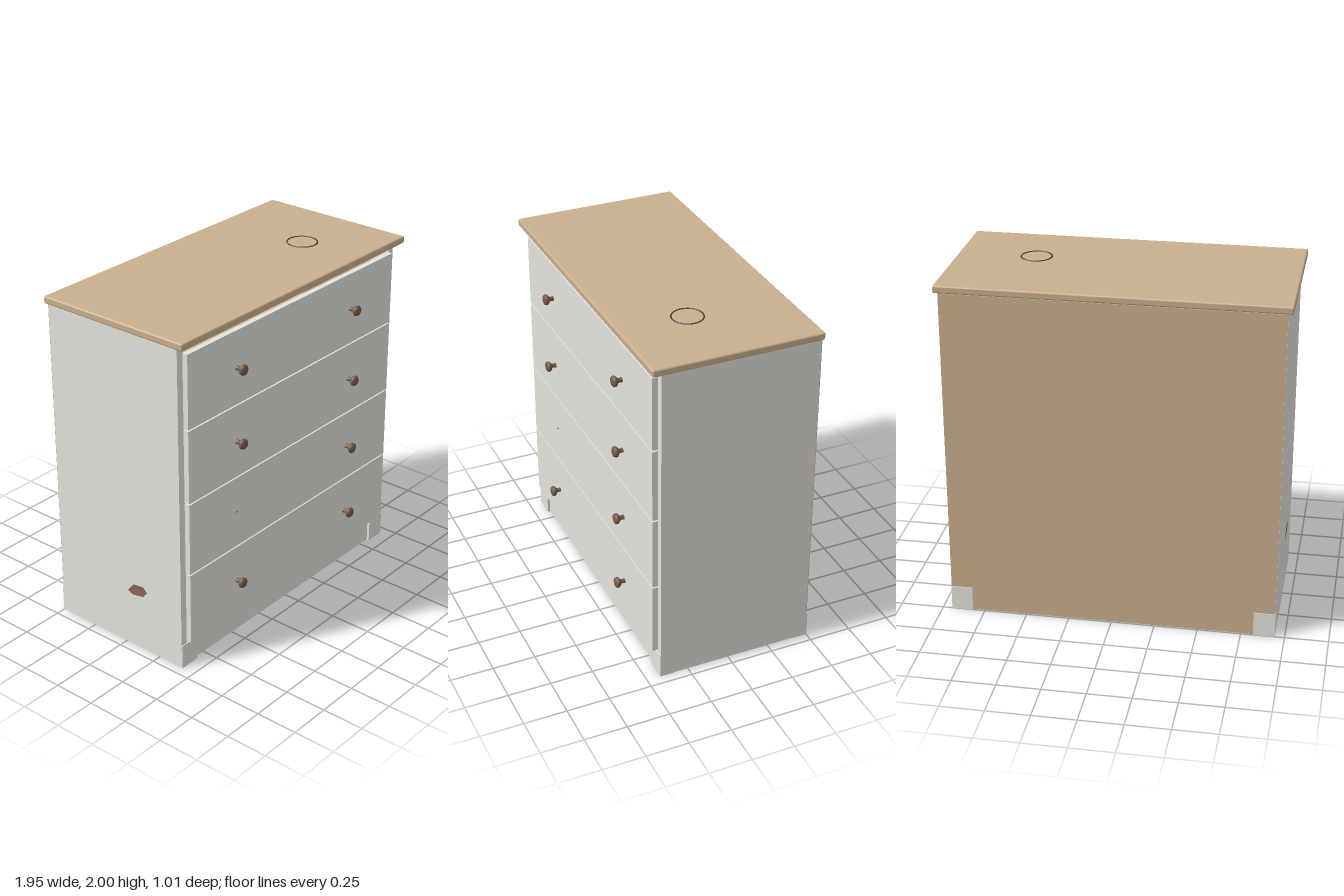
import * as THREE from 'three';
import { RoundedBoxGeometry } from 'three/addons/geometries/RoundedBoxGeometry.js';

const mat = (name, color) => Object.assign(new THREE.MeshStandardMaterial({ color }), { name });

export function createModel() {
  const grey = mat('grey paint', 0xe5e3dd);
  const wood = mat('bare wood', 0xc9af8e);
  const brown = mat('knob brown', 0x785d48);
  const dark = mat('dark stain', 0x4a3a2f);
  const chipped = mat('chipped wood', 0x8b6450);

  const model = new THREE.Group();
  model.name = 'chestOfDrawers';

  const add = (name, geometry, material, parent = model) => {
    const mesh = new THREE.Mesh(geometry, material);
    mesh.name = name;
    parent.add(mesh);
    return mesh;
  };
  // Box given by its lower and upper limits on each axis
  const box = (name, material, x0, x1, y0, y1, z0, z1, parent = model) => {
    const mesh = add(name, new THREE.BoxGeometry(x1 - x0, y1 - y0, z1 - z0), material, parent);
    mesh.position.set((x0 + x1) / 2, (y0 + y1) / 2, (z0 + z1) / 2);
    return mesh;
  };

  // Carcass
  for (const s of [-1, 1]) {
    const side = box('sidePanel', grey, -0.02, 0.02, 0.003, 1.952, -0.494, 0.415);
    side.position.x = s * 0.925;
  }
  box('backPanel', wood, -0.944, 0.944, 0.004, 1.952, -0.497, -0.485);
  box('bottomPanel', grey, -0.905, 0.905, 0.135, 0.158, -0.485, 0.41);
  box('topRail', grey, -0.905, 0.905, 1.915, 1.952, 0.36, 0.413);
  box('frontPlinth', grey, -0.905, 0.905, 0.003, 0.15, 0.368, 0.405);
  box('frontStile', grey, -0.905, -0.89, 0.15, 1.915, 0.36, 0.405);
  for (const y of [0.592, 1.471]) {
    box('drawerDivider', grey, -0.905, 0.905, y - 0.012, y + 0.012, 0.36, 0.41);
  }

  // Corner feet, flush with the sides
  for (const s of [-1, 1]) {
    for (const [z0, z1] of [[0.335, 0.42], [-0.502, -0.417]]) {
      const foot = box('foot', grey, -0.0625, 0.0625, 0, 0.145, z0, z1);
      foot.position.x = s * 0.8822;
    }
  }

  // Tabletop with softened edges
  const top = add('tabletop', new RoundedBoxGeometry(1.948, 0.043, 0.973, 3, 0.01), wood);
  top.position.set(0, 1.9735, -0.0125);

  // Knob profile: stem, flared neck and shallow domed head
  const knobGeometry = new THREE.LatheGeometry([
    [0.014, 0], [0.012, 0.018], [0.015, 0.026], [0.028, 0.036],
    [0.031, 0.042], [0.031, 0.049], [0.026, 0.057], [0.014, 0.06], [0, 0.061],
  ].map(([r, h]) => new THREE.Vector2(r, h)), 24).rotateX(Math.PI / 2);

  // Drawers: painted front, wooden box behind, two knobs
  for (let i = 0; i < 4; i++) {
    const drawer = new THREE.Group();
    drawer.name = 'drawer';
    drawer.position.y = 0.157 + i * 0.439;
    model.add(drawer);
    box('drawerFront', grey, -0.9, 0.897, 0, 0.431, 0.413, 0.445, drawer);
    for (const s of [-1, 1]) {
      const wall = box('drawerSide', wood, -0.01, 0.01, 0.03, 0.37, -0.44, 0.413, drawer);
      wall.position.x = s * 0.87;
    }
    box('drawerBack', wood, -0.86, 0.86, 0.03, 0.37, -0.44, -0.42, drawer);
    box('drawerBase', wood, -0.86, 0.86, 0.03, 0.045, -0.42, 0.413, drawer);
    for (const x of [-0.505, 0.503]) {
      // One knob is missing and leaves its screw hole
      if (i === 1 && x < 0) {
        const hole = add('screwHole', new THREE.CylinderGeometry(0.005, 0.005, 0.002, 12).rotateX(Math.PI / 2), dark, drawer);
        hole.position.set(x, 0.218, 0.4455);
      } else {
        add('knob', knobGeometry, brown, drawer).position.set(x, 0.215, 0.444);
      }
    }
  }

  // Ring stain on the tabletop
  const ring = add('ringStain', new THREE.TorusGeometry(0.087, 0.004, 8, 48).rotateX(Math.PI / 2), dark);
  ring.position.set(0.523, 1.9955, 0.077);

  // Chip in the rail under the tabletop
  box('railChip', dark, -0.66, -0.61, 1.942, 1.952, 0.412, 0.418);

  // Chipped paint on the right side
  const chipShape = new THREE.Shape([
    [-0.07, -0.025], [-0.03, -0.04], [0.045, -0.025], [0.075, 0.01], [0.045, 0.038], [-0.025, 0.03],
  ].map(([x, y]) => new THREE.Vector2(x, y)));
  const chip = add('paintChip', new THREE.ExtrudeGeometry(chipShape, { depth: 0.002, bevelEnabled: false }), chipped);
  chip.rotation.y = -Math.PI / 2;
  chip.position.set(-0.944, 0.375, 0.09);

  return model;
}
